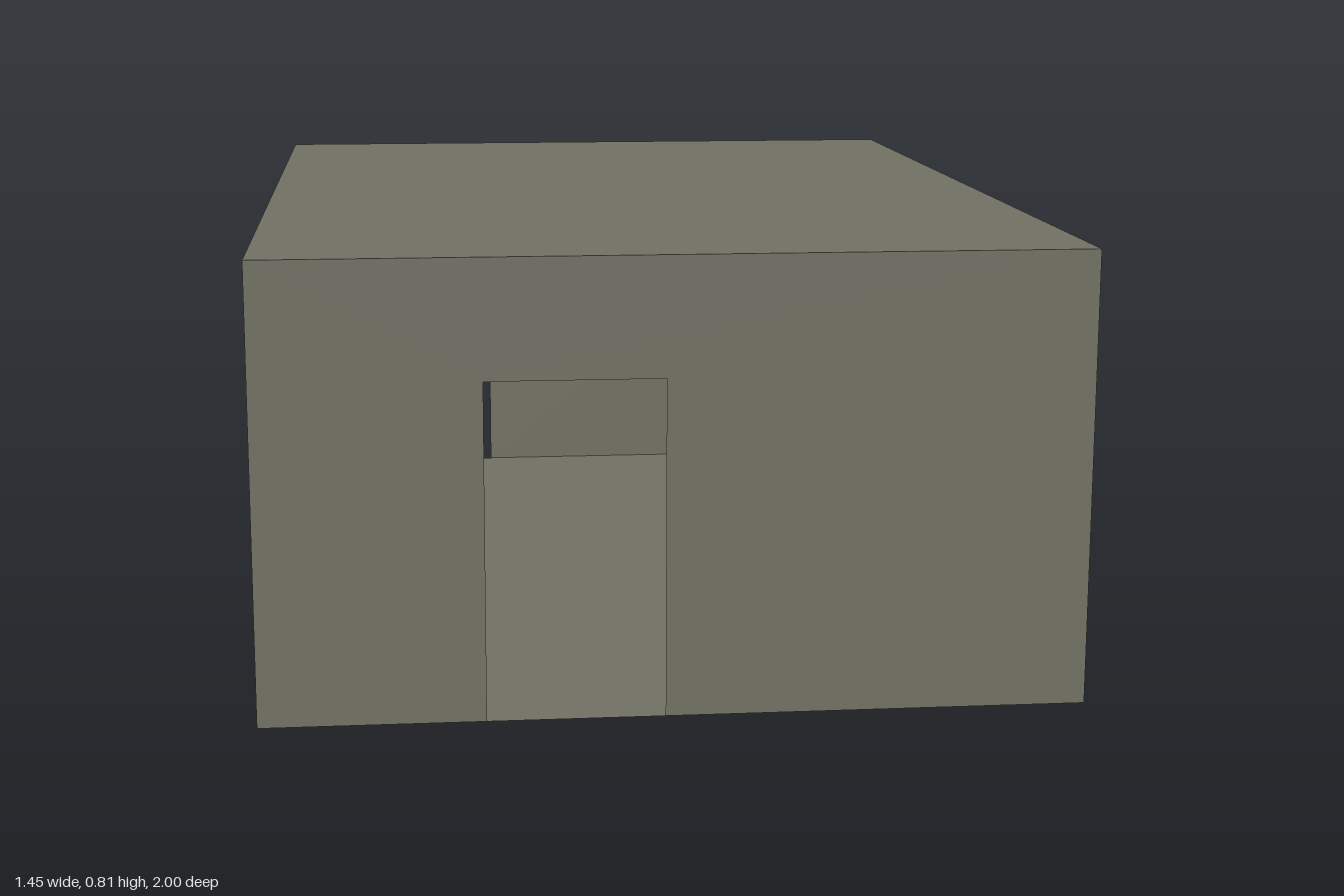
import * as THREE from 'three';

const W = 1.446, H = 0.808, D = 2, DOOR_H = 0.597;

export function createModel() {
  const model = new THREE.Group();
  const concrete = new THREE.MeshStandardMaterial({ color: 0x6f6f62, side: THREE.DoubleSide });
  concrete.name = 'concrete';

  const add = (name, geometry, position, rotation = [0, 0, 0]) => {
    const mesh = new THREE.Mesh(geometry, concrete);
    mesh.name = name;
    mesh.position.set(...position);
    mesh.rotation.set(...rotation);
    model.add(mesh);
  };

  // End wall outline with a doorway notched into its lower edge
  const doorWall = (x0, x1) => new THREE.ShapeGeometry(new THREE.Shape([
    [-W / 2, 0], [x0, 0], [x0, DOOR_H], [x1, DOOR_H], [x1, 0],
    [W / 2, 0], [W / 2, H], [-W / 2, H],
  ].map(([x, y]) => new THREE.Vector2(x, y))));

  // Front and back walls; the back one is turned round, so its x is mirrored
  add('frontWall', doorWall(-0.33, -0.02), [0, 0, D / 2]);
  add('backWall', doorWall(0.248, 0.555), [0, 0, -D / 2], [0, Math.PI, 0]);

  // Side walls
  for (const [name, s] of [['leftWall', 1], ['rightWall', -1]]) {
    add(name, new THREE.PlaneGeometry(D, H), [s * W / 2, H / 2, 0], [0, s * Math.PI / 2, 0]);
  }

  // Flat roof and floor
  add('roof', new THREE.PlaneGeometry(W, D), [0, H, 0], [-Math.PI / 2, 0, 0]);
  add('floor', new THREE.PlaneGeometry(W, D), [0, 0, 0], [Math.PI / 2, 0, 0]);

  return model;
}
